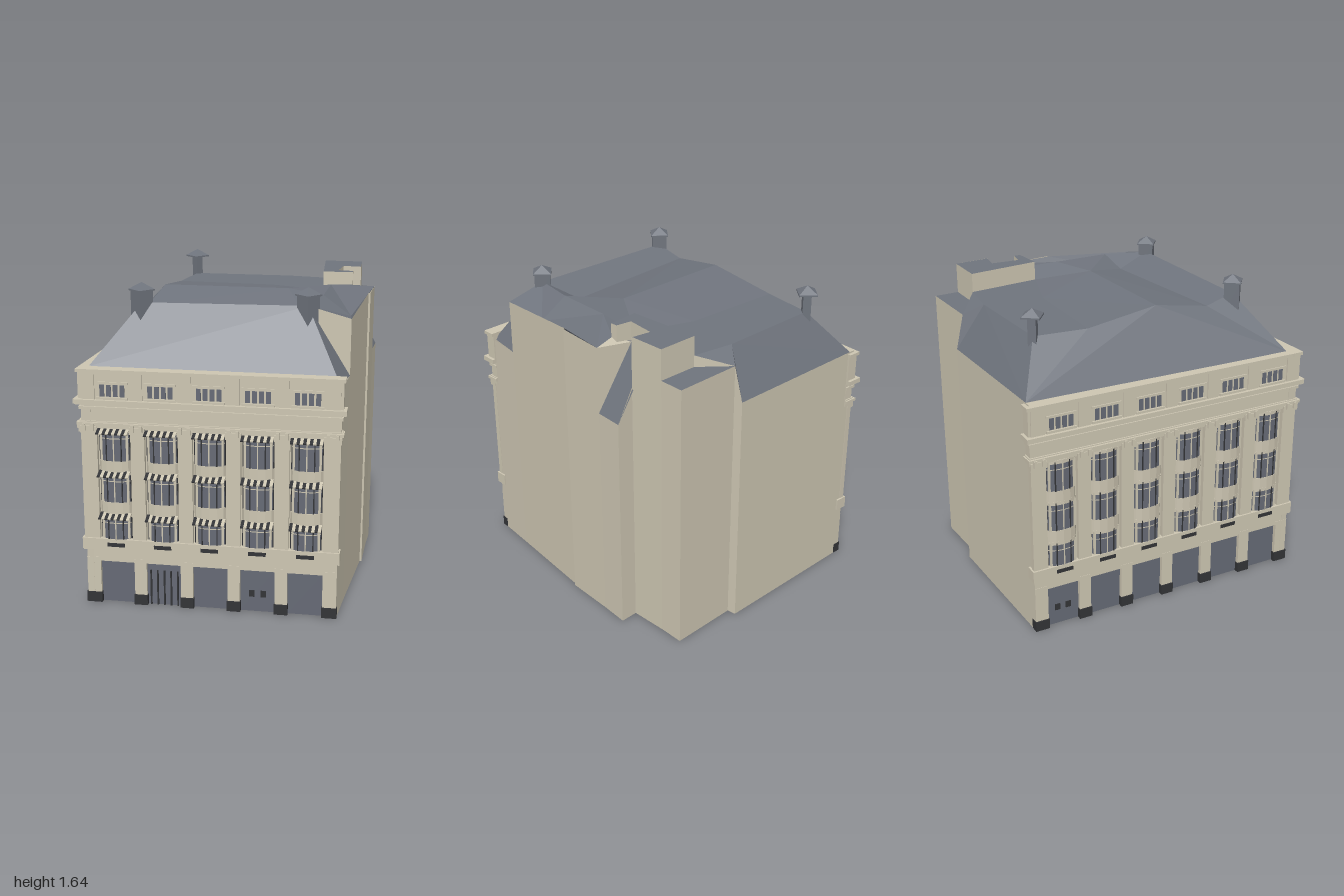
import * as THREE from 'three';

const mat = (name, color, side = THREE.FrontSide) => {
  const m = new THREE.MeshStandardMaterial({ color, side });
  m.name = name;
  m.flatShading = true;
  return m;
};

export function createModel() {
  const stone = mat('stone', 0xcdc6b2);
  const wallStone = mat('wallStone', 0xcdc6b2, THREE.DoubleSide);
  const slate = mat('slate', 0x6f747d, THREE.DoubleSide);
  const glass = mat('glass', 0x666a75, THREE.DoubleSide);
  const dark = mat('darkMetal', 0x333437);
  const model = new THREE.Group();
  model.name = 'cornerBuilding';

  const add = (parent, name, geo, material, x = 0, y = 0, z = 0) => {
    const m = new THREE.Mesh(geo, material);
    m.name = name;
    m.position.set(x, y, z);
    parent.add(m);
    return m;
  };
  // Box given by its limits in each direction
  const box = (parent, name, material, x0, x1, y0, y1, z0, z1) =>
    add(parent, name, new THREE.BoxGeometry(x1 - x0, y1 - y0, z1 - z0), material,
      (x0 + x1) / 2, (y0 + y1) / 2, (z0 + z1) / 2);
  // Flat polygons, each a list of corners, fanned into triangles
  const polygons = (name, faces, material) => {
    const pos = [];
    for (const f of faces)
      for (let i = 1; i < f.length - 1; i++) pos.push(...f[0], ...f[i], ...f[i + 1]);
    const g = new THREE.BufferGeometry();
    g.setAttribute('position', new THREE.Float32BufferAttribute(pos, 3));
    g.computeVertexNormals();
    return add(model, name, g, material);
  };

  // Footprint corners as [x, z]
  const A = [-0.955, -0.025], B = [-0.115, 0.95], C = [0.265, -0.95];
  const E0 = [0.07, 0.82], E = [0.49, 0.53], F = [0.7, 0.375], G = [0.82, 0.285];
  const H = [0.76, 0.215], T = [0.9, 0.085], D = [1, 0], I = [0.77, -0.27], J = [0.8, -0.305];
  const at = ([x, z], y) => [x, y, z];

  // Plain party walls: start, end, height at start, height at end
  const walls = [
    [B, E0, 1.21, 1.21], [E0, E, 1.495, 1.53], [E, [0.5, 0.535], 1.53, 1.53],
    [[0.5, 0.535], F, 1.53, 1.52], [F, G, 1.17, 1.17], [G, H, 1.17, 1.34],
    [H, T, 1.6, 1.6], [T, D, 1.44, 1.44], [D, I, 1.44, 1.44], [I, J, 1.44, 1.26], [J, C, 1.26, 1.26],
  ];
  polygons('partyWalls', walls.map(([p, q, h0, h1]) => [at(p, 0), at(q, 0), at(q, h1), at(p, h0)]), wallStone);

  // Roof corners
  const P1 = [-0.6, 1.54, 0.01], P2 = [-0.06, 1.55, 0.65], P3 = [0.3, 1.5, -0.68], P4 = [0.655, 1.5, -0.265];
  const a = [-0.48, 1.5, -0.1], b = [0.06, 1.5, 0.46], c = [-0.24, 1.55, -0.275], d = [0.19, 1.55, 0.235];
  const e = [0.06, 1.5, -0.53], f = [0.38, 1.5, -0.11], g = [0.16, 1.56, 0.53], h = [0.4, 1.56, 0.34];
  const i = [0.6, 1.53, 0.3], j = [0.24, 1.46, 0.65], k = [0.767, 1.5, -0.077], l = [0.49, 1.5, 0.19];
  const S0 = [0.6, 1.5, 0.21], S1 = [0.71, 1.5, 0.125];
  const eA = [-0.9, 1.25, -0.035], eB = [-0.1, 1.21, 0.925], eC = [0.285, 1.26, -0.925];
  const tE0 = at(E0, 1.495), tE = at(E, 1.53), tF = at(F, 1.52), tI = at(I, 1.44), tJ = at(J, 1.26);

  polygons('mansardSlopes', [
    [eA, eB, P2, P1], [eA, P1, a], [eA, a, c], [eA, c, eC], [eC, c, e], [eC, e, P3],
    [eC, P3, P4, tJ], [tJ, P4, tI], [eB, at(E0, 1.21), P2],
    [at(F, 1.17), at(G, 1.17), S1, S0],
  ], slate);
  polygons('upperRoof', [
    [P1, P2, b, a], [a, b, d, c], [c, d, f, e], [e, f, P4, P3], [f, l, k, P4], [d, l, f],
    [d, g, h, l], [b, g, d], [P2, g, b], [g, j, h], [P2, j, g], [P2, tE0, j], [j, tE0, tE],
    [j, tE, tF], [h, j, tF], [h, tF, i], [l, h, i], [P4, k, tI], [l, i, S0],
    [at(D, 1.44), tI, [0.767, 1.44, -0.077], at(T, 1.44)],
  ], slate);
  polygons('roofEndWalls', [
    [at(E0, 1.21), tE0, P2], [at(F, 1.17), tF, S0], [tF, i, S0],
    [tI, k, [0.767, 1.44, -0.077]],
  ], wallStone);

  // Raised stair tower
  const tower = [[0.767, -0.077], T, [0.762, 0.21], [0.71, 0.125], [0.585, 0.21], [0.628, 0.28], [0.6, 0.305], [0.49, 0.19]];
  const towerShape = new THREE.Shape(tower.map(([x, z]) => new THREE.Vector2(x, -z)));
  const towerGeo = new THREE.ExtrudeGeometry(towerShape, { depth: 0.24, bevelEnabled: false });
  towerGeo.rotateX(-Math.PI / 2);
  add(model, 'stairTower', towerGeo, [slate, stone], 0, 1.36, 0);

  // Capped chimneys on the roof corners
  for (const [x, z, w] of [[-0.6, 0.01, 0.08], [-0.06, 0.65, 0.08], [0.3, -0.68, 0.042]]) {
    box(model, 'chimneyPost', slate, x - w / 2, x + w / 2, 1.44, 1.605, z - w / 2, z + w / 2);
    box(model, 'chimneyCapEdge', slate, x - 0.047, x + 0.047, 1.6, 1.608, z - 0.047, z + 0.047);
    const cap = new THREE.ConeGeometry(0.066, 0.035, 4);
    cap.rotateY(Math.PI / 4);
    add(model, 'chimneyCap', cap, slate, x, 1.625, z);
  }

  // Street front running from p to q, with z pointing to the street
  function facade(name, p, q, bays, awnings, doorBay, barredBay) {
    const fr = new THREE.Group();
    fr.name = name;
    const dx = q[0] - p[0], dz = q[1] - p[1], L = Math.hypot(dx, dz);
    fr.position.set(p[0], 0, p[1]);
    fr.rotation.y = Math.atan2(-dz, dx);
    model.add(fr);
    const first = 0.16, step = (L - 2 * first) / (bays - 1);
    const centre = (n) => first + n * step;

    box(fr, 'backingWall', stone, 0, L, 0.23, 1.24, -0.035, -0.015);
    box(fr, 'shopFascia', stone, 0, L, 0.23, 0.3, -0.035, 0);
    // Long mouldings: bottom, top, projection, overrun at the ends
    for (const [part, y0, y1, out, over] of [
      ['balconyBand', 0.297, 0.36, 0.018, 0.012], ['entablature', 0.945, 0.985, 0.012, 0.01],
      ['entablatureLip', 0.965, 0.98, 0.024, 0.018], ['frieze', 0.985, 1.075, 0.004, 0.004],
      ['friezeMoulding', 1.045, 1.06, 0.014, 0.012], ['mainCornice', 1.075, 1.1, 0.036, 0.028],
      ['atticWall', 1.1, 1.24, 0.012, 0.012], ['atticCoping', 1.235, 1.252, 0.022, 0.02],
    ]) box(fr, part, stone, -over, L + over, y0, y1, -0.045, out);

    // Piers between the bays
    for (let n = 0; n <= bays; n++) {
      const u0 = n === 0 ? 0 : centre(n - 1) + 0.089, u1 = n === bays ? L : centre(n) - 0.089;
      const m = (u0 + u1) / 2;
      box(fr, 'shopPier', stone, u0, u1, 0, 0.25, -0.035, 0.002);
      box(fr, 'pierPlinth', dark, u0 - 0.003, u1 + 0.003, 0, 0.055, -0.037, 0.008);
      box(fr, 'upperPier', stone, u0 - 0.004, u1 + 0.004, 0.35, 0.95, -0.02, 0.008);
      box(fr, 'pierCapital', stone, u0 - 0.008, u1 + 0.008, 0.925, 0.96, -0.02, 0.02);
      for (const s of [-0.022, 0.022]) box(fr, 'bracket', stone, m + s - 0.008, m + s + 0.008, 0.94, 0.975, 0, 0.032);
      box(fr, 'atticPier', stone, u0, u1, 1.1, 1.235, 0, 0.019);
    }

    for (let n = 0; n < bays; n++) {
      const u = centre(n);
      // Shop window or door
      box(fr, 'shopGlass', glass, u - 0.09, u + 0.09, 0, 0.232, -0.026, -0.018);
      if (n === doorBay)
        for (const s of [-0.03, 0.03]) box(fr, 'doorPane', dark, u + s - 0.014, u + s + 0.014, 0.08, 0.115, -0.029, -0.014);
      if (n === barredBay)
        for (let s = -2; s <= 2; s++) box(fr, 'shopBar', dark, u + s * 0.035 - 0.004, u + s * 0.035 + 0.004, 0, 0.19, -0.02, -0.01);

      // Stack of bowed windows
      const bow = (part, r, y0, y1, material, open) => {
        const geo = new THREE.CylinderGeometry(r, r, y1 - y0, 6, 1, open, -Math.PI / 2, Math.PI);
        geo.scale(1, 1, 0.4);
        return add(fr, part, geo, material, u, (y0 + y1) / 2, -0.015);
      };
      for (const [y0, y1] of [[0.35, 0.49], [0.56, 0.715], [0.78, 0.94]]) {
        bow('bowWindow', 0.076, y0, y1, glass, true);
        bow('bowHead', 0.081, y1 - 0.012, y1 + 0.008, stone, false);
        for (let s = 0; s <= 6; s++) {
          const t = -Math.PI / 2 + s * Math.PI / 6, x = u + 0.076 * Math.sin(t), z = -0.015 + 0.0304 * Math.cos(t);
          const w = s === 1 || s === 5 ? 0.006 : 0.003;
          box(fr, 'mullion', s % 2 ? stone : dark, x - w, x + w, y0, y1, z - 0.003, z + 0.003);
        }
        bow('transom', 0.078, y1 - 0.045, y1 - 0.04, stone, true);
        if (!awnings) continue;
        // Striped awning
        for (let s = 0; s < 10; s++) {
          const m = box(fr, 'awningStripe', s % 2 ? stone : dark, u - 0.08 + s * 0.016, u - 0.064 + s * 0.016,
            y1 - 0.002, y1 + 0.004, 0.0, 0.058);
          m.rotation.x = 0.3;
        }
      }
      bow('spandrel', 0.08, 0.497, 0.56, stone, false);
      bow('spandrel', 0.08, 0.72, 0.78, stone, false);
      // Balcony grille and small attic panes
      box(fr, 'balconyGrille', dark, u - 0.045, u + 0.045, 0.32, 0.34, 0.016, 0.021);
      for (let s = -1.5; s <= 1.5; s++)
        box(fr, 'atticPane', glass, u + s * 0.034 - 0.012, u + s * 0.034 + 0.012, 1.115, 1.175, 0.008, 0.014);
      box(fr, 'atticSill', stone, u - 0.08, u + 0.08, 1.1, 1.112, 0, 0.02);
      box(fr, 'atticHead', stone, u - 0.08, u + 0.08, 1.18, 1.19, 0, 0.018);
    }
  }
  facade('frontFacade', A, B, 5, true, 3, 1);
  facade('sideFacade', C, A, 6, false, 0, -1);

  return model;
}
